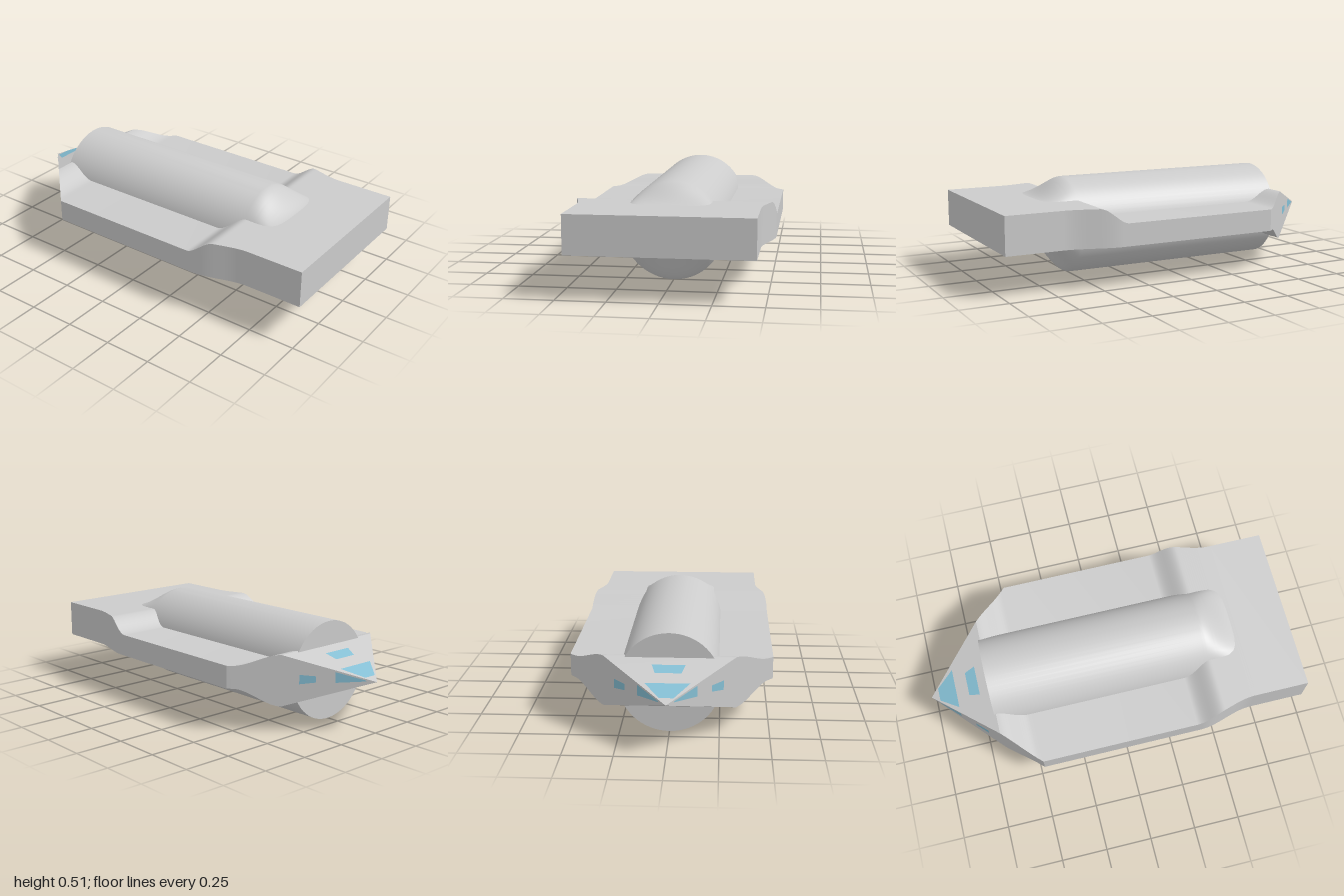
import * as THREE from 'three';
import { toCreasedNormals } from 'three/addons/utils/BufferGeometryUtils.js';

const { smoothstep, lerp } = THREE.MathUtils;
const TIP_Y = 0.262;

// Skin a list of rings (each a list of [x, y, z], running from up towards +z) and cap both ends.
function loft(rings, crease = 0.4) {
  const n = rings[0].length;
  const last = rings.length - 1;
  const pos = rings.flat(2);
  const index = [];
  for (let i = 0; i < last; i++) {
    for (let j = 0; j < n; j++) {
      const k = (j + 1) % n;
      const a = i * n + j, b = i * n + k, c = b + n, d = a + n;
      index.push(a, b, c, a, c, d);
    }
  }
  for (let j = 1; j < n - 1; j++) {
    index.push(0, j + 1, j);
    index.push(last * n, last * n + j, last * n + j + 1);
  }
  const geo = new THREE.BufferGeometry();
  geo.setAttribute('position', new THREE.Float32BufferAttribute(pos, 3));
  geo.setIndex(index);
  return toCreasedNormals(geo, crease);
}

// Rectangular ring at x
const rectRing = (x, top, bottom, w) => [[x, top, -w], [x, top, w], [x, bottom, w], [x, bottom, -w]];

function steps(from, to, count) {
  return Array.from({ length: count + 1 }, (_, i) => lerp(from, to, i / count));
}

// Hull: flared shoulders behind the nose, low side decks, then a raised, narrower stern block
function hullRing(x) {
  const shoulder = smoothstep(x, -0.67, -0.5);
  const rise = smoothstep(x, 0.37, 0.52);
  const nose = Math.min(x + 0.67, 0);
  const top = lerp(0.393, 0.335, shoulder) + rise * 0.08 + nose * 0.4;
  const bottom = lerp(0.13, 0.218, shoulder) - nose * 0.4;
  const w = x < -0.48 ? x + 1 : lerp(0.52, 0.457, smoothstep(x, 0.4, 0.7));
  return rectRing(x, top, bottom, w);
}

// Cargo drum: a cylinder whose tail flattens into the stern block
function drumRing(x) {
  const t = smoothstep(x, 0.5, 0.71);
  const ring = [];
  for (let j = 0; j < 64; j++) {
    const a = (j / 64) * Math.PI * 2;
    const c = Math.cos(a), s = Math.sin(a);
    const box = 1 / Math.pow(c ** 6 + s ** 6, 1 / 6);
    const y = lerp(0.2575 + 0.2575 * c, 0.3165 + 0.096 * c * box, t);
    const z = lerp(0.2575 * s, 0.235 * s * box, t);
    ring.push([x, y, z]);
  }
  return ring;
}

// Flat pane from four corners
function pane(corners) {
  const geo = new THREE.BufferGeometry();
  geo.setAttribute('position', new THREE.Float32BufferAttribute(corners.flat(), 3));
  geo.setIndex([0, 1, 2, 0, 2, 3]);
  geo.computeVertexNormals();
  return geo;
}

export function createModel() {
  const model = new THREE.Group();
  const grey = new THREE.MeshStandardMaterial({ color: 0xcccccc });
  const glass = new THREE.MeshStandardMaterial({ color: 0x85bfd4, side: THREE.DoubleSide });
  const add = (name, geo, mat = grey) => {
    const mesh = new THREE.Mesh(geo, mat);
    mesh.name = name;
    model.add(mesh);
  };

  const stations = [-0.73, ...steps(-0.67, -0.5, 14), -0.48, ...steps(0.37, 0.71, 28), 1];
  stations[stations.indexOf(-0.48)] = -0.479;
  add('hull', loft(stations.map(hullRing)));

  add('cargoDrum', loft([-0.68, ...steps(0.5, 0.71, 24)].map(drumRing), 0.7));

  // Wedge-shaped cockpit nose ending in a point
  add('nose', loft([rectRing(-1, TIP_Y, TIP_Y, 0), rectRing(-0.73, 0.369, 0.154, 0.27)], 0.2));

  // Roof windows follow the slope of the nose
  const roof = (x, z) => [x, TIP_Y + (x + 1) * 0.397 + 0.002, z];
  const roofPane = (x0, z0, x1, z1) => pane([roof(x0, -z0), roof(x0, z0), roof(x1, z1), roof(x1, -z1)]);
  add('windshield', roofPane(-0.955, 0.035, -0.858, 0.11), glass);
  add('roofWindow', roofPane(-0.79, 0.065, -0.733, 0.083), glass);

  // Side windows, mirrored
  for (const side of [1, -1]) {
    const name = side > 0 ? 'front' : 'back';
    const wall = ([x, y]) => [x, y, side * (x + 1.002)];
    const forward = [[-0.965, 0.265], [-0.963, 0.27], [-0.858, 0.31], [-0.858, 0.256]];
    const rear = [[-0.79, 0.256], [-0.79, 0.288], [-0.733, 0.294], [-0.733, 0.246]];
    add(name + 'ForwardSideWindow', pane(forward.map(wall)), glass);
    add(name + 'RearSideWindow', pane(rear.map(wall)), glass);
  }
  return model;
}
